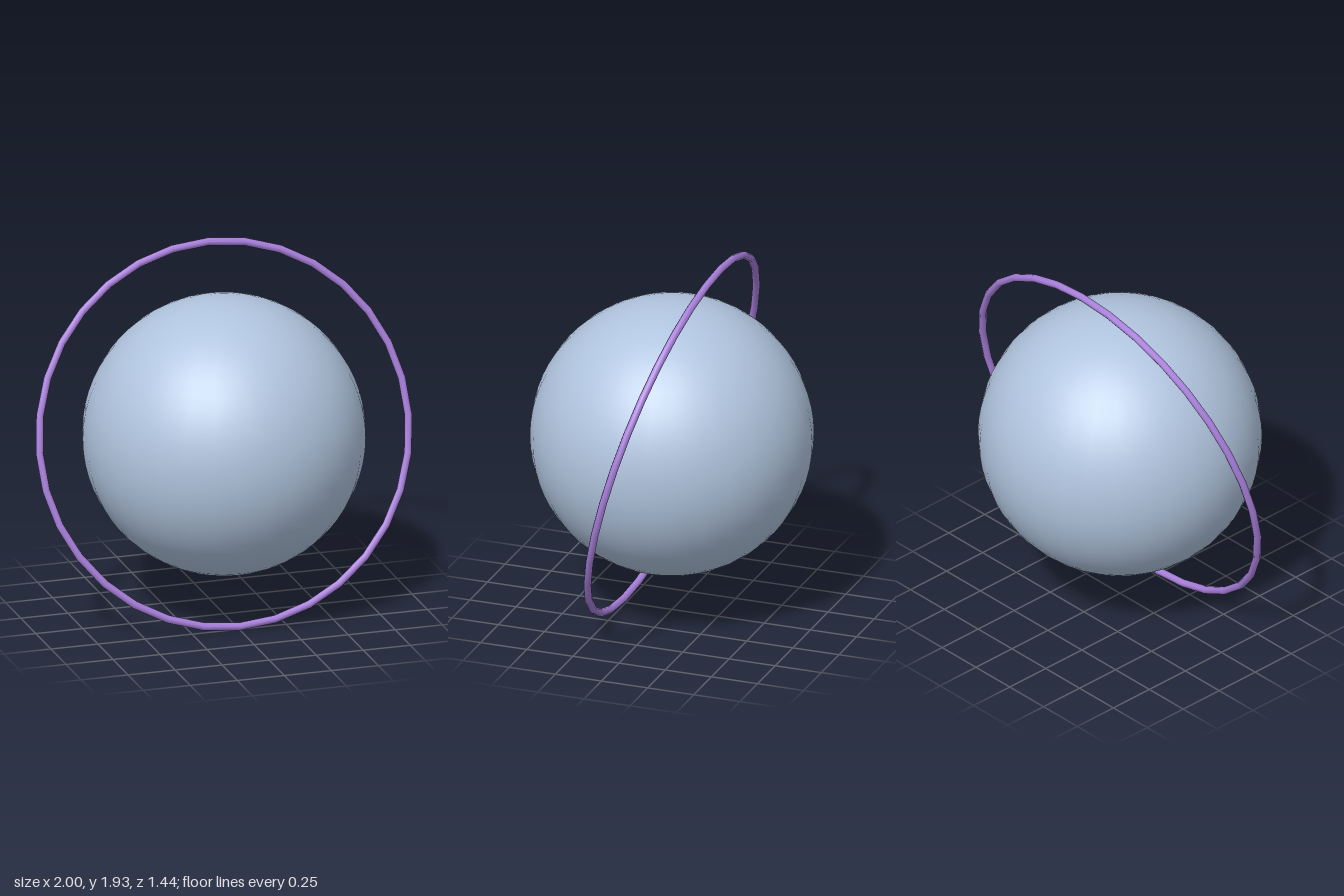
import * as THREE from 'three';

const CENTER_Y = 0.964;
const TILT = 0.272;

export function createModel() {
  const model = new THREE.Group();
  model.name = 'ringedPlanet';

  const add = (name, geometry, color) => {
    const mesh = new THREE.Mesh(geometry, new THREE.MeshStandardMaterial({ color }));
    mesh.name = name;
    mesh.position.y = CENTER_Y;
    model.add(mesh);
    return mesh;
  };

  // Smooth globe
  add('planet', new THREE.SphereGeometry(0.72, 32, 32), 0xb0c4de);

  // Thin upright ring, its top leaning towards the back
  const ring = add('ring', new THREE.TorusGeometry(0.98, 0.02, 8, 32), 0xa87fdb);
  ring.rotation.x = -TILT;

  return model;
}
